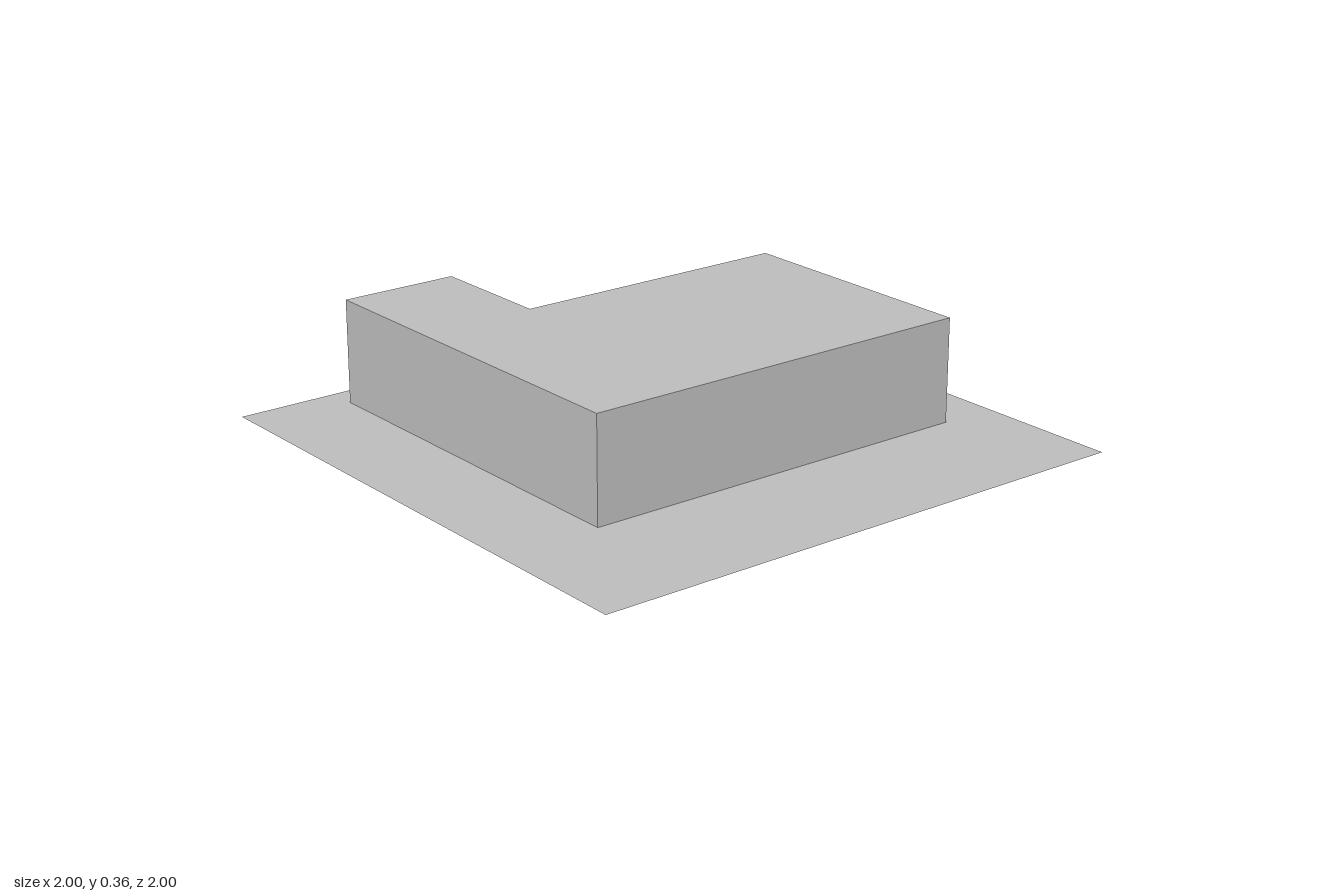
import * as THREE from 'three';

export function createModel() {
  const model = new THREE.Group();
  const grey = new THREE.MeshStandardMaterial({ color: 0xbcbcbc, side: THREE.DoubleSide });
  grey.name = 'plain grey';

  // Flat square site the building stands on
  const ground = new THREE.Mesh(new THREE.PlaneGeometry(2, 2).rotateX(-Math.PI / 2), grey);
  ground.name = 'groundPlate';
  model.add(ground);

  // L-shaped block: footprint as (x, -z), extruded upwards
  const footprint = new THREE.Shape([
    [-0.893, -0.645], [0.493, -0.645], [0.493, 0.797],
    [-0.433, 0.797], [-0.433, -0.222], [-0.893, -0.222],
  ].map(([x, y]) => new THREE.Vector2(x, y)));
  const base = 0.001; // keeps the underside clear of the plate
  const height = 0.365;
  const geometry = new THREE.ExtrudeGeometry(footprint, { depth: height - base, bevelEnabled: false });
  geometry.rotateX(-Math.PI / 2).translate(0, base, 0);
  const block = new THREE.Mesh(geometry, grey);
  block.name = 'buildingBlock';
  model.add(block);

  return model;
}
